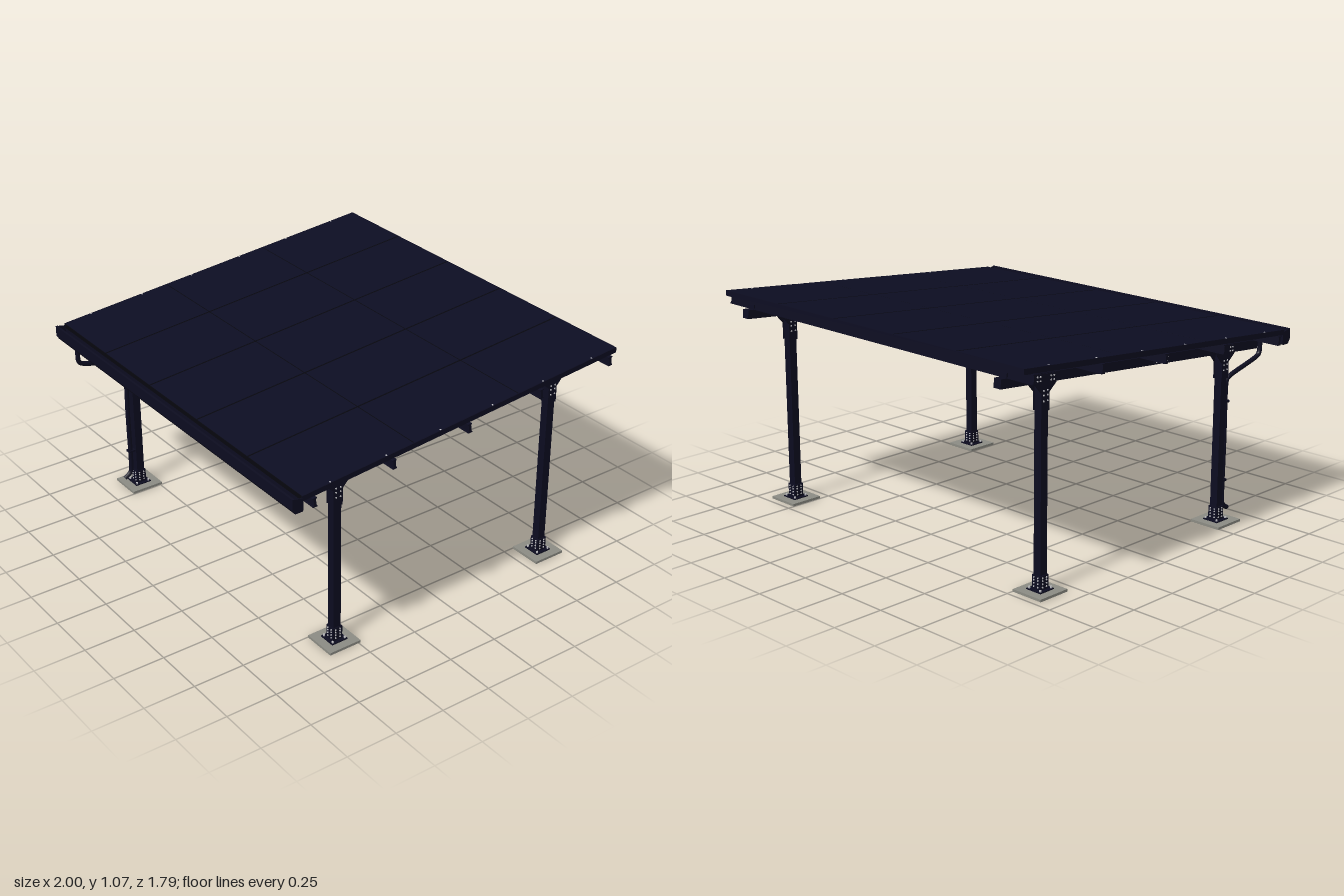
import * as THREE from 'three';

const mat = (name, color, side = THREE.FrontSide) => {
  const m = new THREE.MeshStandardMaterial({ color, side });
  m.name = name;
  return m;
};

export function createModel() {
  const model = new THREE.Group();
  model.name = 'solarCarport';
  const navy = mat('navySteel', 0x0c0c20);
  const pipeNavy = mat('navyPipe', 0x0c0c20, THREE.DoubleSide);
  const glass = mat('panelGlass', 0x0c0d22);
  const black = mat('panelFrame', 0x07070f);
  const grey = mat('footingGrey', 0x8c8c84);
  const silver = mat('boltSilver', 0xc0c0c4);

  const add = (parent, name, geo, material, x = 0, y = 0, z = 0) => {
    const m = new THREE.Mesh(geo, material);
    m.name = name;
    m.position.set(x, y, z);
    parent.add(m);
    return m;
  };
  const box = (parent, name, w, h, d, material, x, y, z) =>
    add(parent, name, new THREE.BoxGeometry(w, h, d), material, x, y, z);
  // Extrudes a (z, y) outline along x, centred on x = 0
  const extrudeX = (points, width) => {
    const shape = new THREE.Shape(points.map(p => new THREE.Vector2(p[0], p[1])));
    const g = new THREE.ExtrudeGeometry(shape, { depth: width, bevelEnabled: false });
    return g.translate(0, 0, -width / 2).rotateY(-Math.PI / 2);
  };
  const boltX = new THREE.CylinderGeometry(0.004, 0.004, 0.005, 6).rotateZ(Math.PI / 2);
  const boltZ = new THREE.CylinderGeometry(0.004, 0.004, 0.005, 6).rotateX(Math.PI / 2);

  const POST_X = 0.835, SLOPE = 0.0875, RAFTER_TOP = 0.925;
  const rafterY = z => RAFTER_TOP - z * Math.tan(SLOPE);

  // Sloped roof assembly; local y = 0 is the top of the rafters
  const roof = new THREE.Group();
  roof.name = 'roof';
  roof.position.y = RAFTER_TOP;
  roof.rotation.x = SLOPE;
  model.add(roof);

  for (const s of [-1, 1]) {
    box(roof, 'rafter', 0.04, 0.042, 1.72, navy, s * POST_X, -0.021, -0.034);
    // Splice plates with bolts
    for (const f of [-1, 1]) {
      const x = s * POST_X + f * 0.022;
      box(roof, 'splicePlate', 0.004, 0.034, 0.1, navy, x, -0.021, 0.115);
      for (const dz of [-0.036, -0.014, 0.014, 0.036])
        for (const dy of [-0.009, 0.009])
          add(roof, 'spliceBolt', boltX, silver, x + f * 0.003, -0.021 + dy, 0.115 + dz);
    }
  }

  // Flanged purlins, with cleats where they cross the rafters
  for (const z of [0.795, 0.384, -0.026, -0.437, -0.85]) {
    const p = new THREE.Group();
    p.name = 'purlin';
    p.position.z = z;
    roof.add(p);
    box(p, 'purlinWeb', 2, 0.036, 0.012, navy, 0, 0.022, 0);
    for (const y of [0.0025, 0.0415]) box(p, 'purlinFlange', 2, 0.005, 0.022, navy, 0, y, 0);
    for (const s of [-1, 1]) box(p, 'purlinCleat', 0.04, 0.02, 0.026, navy, s * POST_X, 0.012, 0);
  }

  // Five by three solar panels
  const COL = 0.394, ROW = 0.581, Z0 = -0.898;
  for (let c = 0; c < 5; c++)
    for (let r = 0; r < 3; r++) {
      const x = (c - 2) * COL, z = Z0 + (r + 0.5) * ROW;
      box(roof, 'panelFrame', COL - 0.001, 0.023, ROW - 0.001, black, x, 0.0555, z);
      box(roof, 'panelGlass', COL - 0.009, 0.002, ROW - 0.005, glass, x, 0.067, z);
    }
  for (const s of [-1, 1]) {
    box(roof, 'edgeTrim', 0.005, 0.025, 3 * ROW, navy, s * 0.983, 0.0558, Z0 + 1.5 * ROW);
    for (let r = 0; r < 3; r++)
      for (const d of [-0.145, 0.145])
        box(roof, 'edgeClamp', 0.008, 0.003, 0.006, silver, s * 0.979, 0.0685, Z0 + (r + 0.5) * ROW + d);
  }
  box(roof, 'rearTrim', 1.97, 0.025, 0.004, navy, 0, 0.0558, Z0);

  // Gutter along the low front edge
  const gutter = [[0.84, 0.908], [0.84, 0.852], [0.846, 0.846], [0.882, 0.846], [0.888, 0.856],
    [0.895, 0.866], [0.895, 0.918], [0.884, 0.918], [0.884, 0.912], [0.89, 0.912],
    [0.89, 0.868], [0.88, 0.851], [0.845, 0.851], [0.845, 0.908]];
  add(model, 'gutter', extrudeX(gutter, 1.97), navy);
  for (const s of [-1, 1])
    add(model, 'gutterEndCap', extrudeX([...gutter.slice(0, 7)], 0.004), navy, s * 0.983);

  // Posts with footings, collars and gussets
  for (const sx of [-1, 1])
    for (const z of [0.573, -0.635]) {
      const post = new THREE.Group();
      post.name = 'post';
      post.position.set(sx * POST_X, 0, z);
      model.add(post);
      const top = rafterY(z), h = top - 0.03;
      box(post, 'postShaft', 0.04, h, 0.04, navy, 0, h / 2, 0);

      const slab = new THREE.Shape();
      const square = (path, a) =>
        path.moveTo(-a, -a).lineTo(a, -a).lineTo(a, a).lineTo(-a, a).closePath();
      square(slab, 0.083);
      const hole = new THREE.Path();
      square(hole, 0.042);
      slab.holes.push(hole);
      const slabGeo = new THREE.ExtrudeGeometry(slab, { depth: 0.012, bevelEnabled: false });
      add(post, 'footing', slabGeo.rotateX(-Math.PI / 2), grey);
      box(post, 'basePlate', 0.084, 0.017, 0.084, navy, 0, 0.0085, 0);
      box(post, 'baseCollar', 0.05, 0.065, 0.05, navy, 0, 0.049, 0);
      for (const f of [-1, 1])
        for (const y of [0.03, 0.045, 0.06, 0.072])
          for (const d of [-0.012, 0.012]) {
            add(post, 'baseBolt', boltX, silver, f * 0.026, y, d);
            add(post, 'baseBolt', boltZ, silver, d, y, f * 0.026);
          }
      for (const dx of [-0.033, 0.033])
        for (const dz of [-0.033, 0.033])
          add(post, 'anchorBolt', new THREE.CylinderGeometry(0.005, 0.005, 0.012, 6), silver, dx, 0.02, dz);

      // Gusset plates joining post and rafter
      const t = Math.tan(SLOPE) * 0.065;
      const outline = [[-0.065, t - 0.003], [-0.065, t - 0.045], [-0.024, -0.085], [-0.024, -0.165],
        [0.024, -0.165], [0.024, -0.085], [0.065, -t - 0.045], [0.065, -t - 0.003]];
      for (const f of [-1, 1]) {
        add(post, 'gussetPlate', extrudeX(outline, 0.005), navy, f * 0.0225, top, 0);
        for (const d of [-0.05, -0.032, 0.032, 0.05])
          for (const y of [-0.014, -0.032])
            add(post, 'gussetBolt', boltX, silver, f * 0.026, top + y - d * Math.tan(SLOPE), d);
        for (const d of [-0.012, 0.012])
          for (const y of [-0.075, -0.095, -0.12])
            add(post, 'gussetBolt', boltX, silver, f * 0.026, top + y, d);
      }
    }

  // Downpipe from the gutter to the foot of the front post
  const path = new THREE.CatmullRomCurve3([
    [0.85, 0.866], [0.79, 0.866], [0.775, 0.861], [0.765, 0.848], [0.708, 0.64], [0.698, 0.622],
    [0.68, 0.616], [0.4, 0.616], [0.1, 0.616], [0.08, 0.62], [0.068, 0.63], [0.052, 0.655],
  ].map(([y, z]) => new THREE.Vector3(-POST_X, y, z)), false, 'centripetal');
  add(model, 'downpipe', new THREE.TubeGeometry(path, 90, 0.0115, 10), pipeNavy);
  for (const y of [0.59, 0.2]) box(model, 'pipeClip', 0.03, 0.01, 0.036, navy, -POST_X, y, 0.611);

  return model;
}
